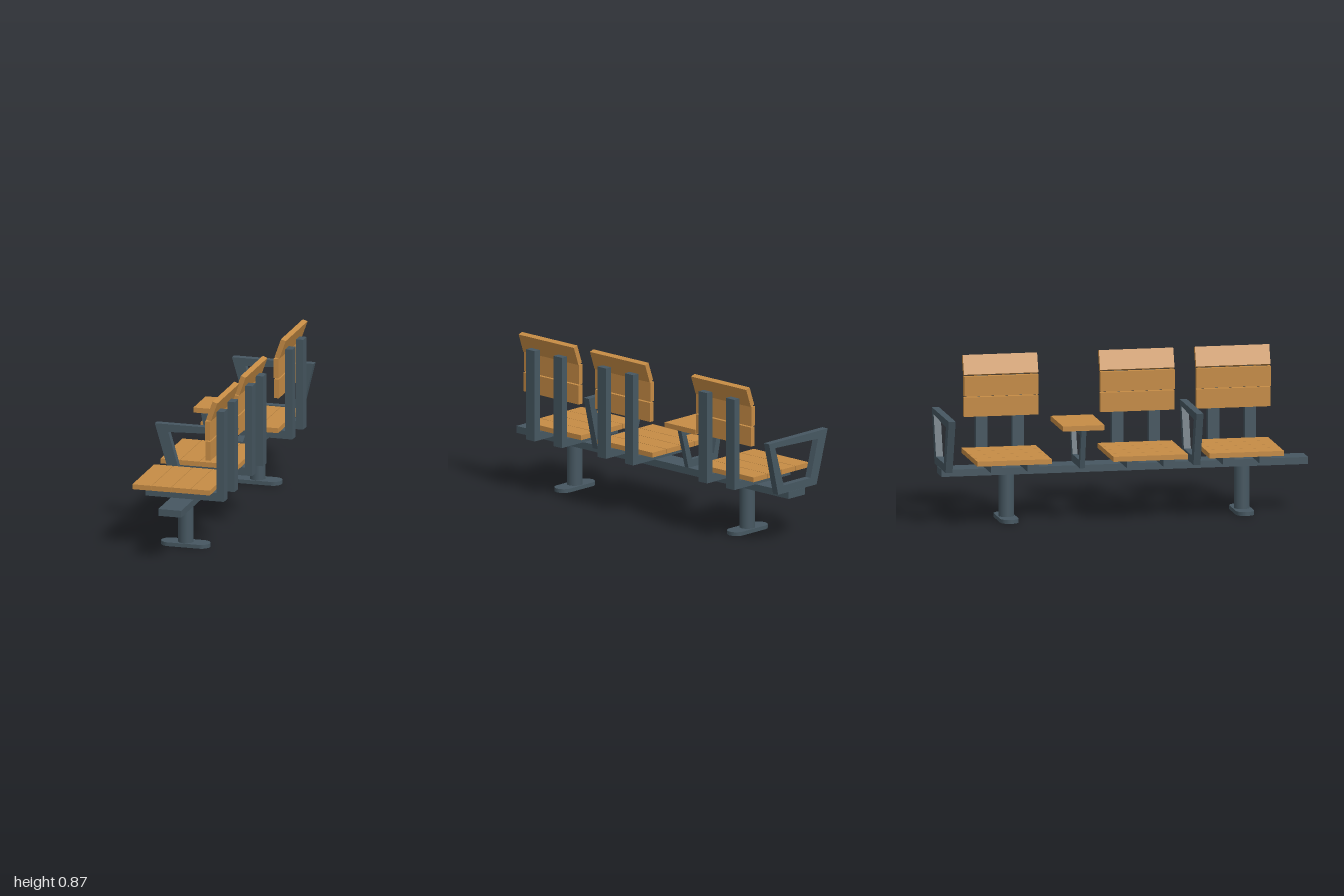
import * as THREE from 'three';

const wood = new THREE.MeshStandardMaterial({ color: 0xc68c45 });
const steel = new THREE.MeshStandardMaterial({ color: 0x465761 });

function add(parent, name, geometry, material) {
  const mesh = new THREE.Mesh(geometry, material);
  mesh.name = name;
  parent.add(mesh);
  return mesh;
}

// Box given by its limits on each axis
function box(parent, name, material, [x0, x1], [y0, y1], [z0, z1]) {
  const mesh = add(parent, name, new THREE.BoxGeometry(x1 - x0, y1 - y0, z1 - z0), material);
  mesh.position.set((x0 + x1) / 2, (y0 + y1) / 2, (z0 + z1) / 2);
  return mesh;
}

const points = (list) => list.map(([x, y]) => new THREE.Vector2(x, y));

// Closed four-sided frame in the x-y plane
function frame(parent, name, outer, inner, depth, x, z) {
  const shape = new THREE.Shape(points(outer));
  shape.holes.push(new THREE.Path(points(inner)));
  const geometry = new THREE.ExtrudeGeometry(shape, { depth, bevelEnabled: false });
  geometry.translate(0, 0, -depth / 2);
  add(parent, name, geometry, steel).position.set(x, 0, z);
}

// Pedestal: round post on a rounded-end foot plate
function pedestal(x, z) {
  const group = new THREE.Group();
  group.name = 'pedestal';
  const post = add(group, 'post', new THREE.CylinderGeometry(0.042, 0.042, 0.24, 24), steel);
  post.position.y = 0.14;
  const r = 0.05, half = 0.086;
  const shape = new THREE.Shape();
  shape.absarc(half, 0, r, -Math.PI / 2, Math.PI / 2, false);
  shape.absarc(-half, 0, r, Math.PI / 2, Math.PI * 1.5, false);
  const geometry = new THREE.ExtrudeGeometry(shape, { depth: 0.021, bevelEnabled: false, curveSegments: 12 });
  geometry.rotateX(-Math.PI / 2);
  add(group, 'footPlate', geometry, steel);
  group.position.set(x, 0, z);
  return group;
}

// Seat: four seat slats, three back slats, two L-shaped brackets
function seat(z) {
  const group = new THREE.Group();
  group.name = 'seat';
  const seatZ = [-0.203, 0.203];
  const backZ = [-0.192, 0.214];
  for (let i = 0; i < 4; i++) {
    const x = -0.245 + i * 0.109;
    box(group, 'seatSlat', wood, [x, x + 0.106], [0.34, 0.367], seatZ);
  }
  box(group, 'lowerBackSlat', wood, [0.167, 0.195], [0.537, 0.642], backZ);
  box(group, 'middleBackSlat', wood, [0.165, 0.193], [0.648, 0.755], backZ);
  const top = box(group, 'upperBackSlat', wood, [0.188, 0.216], [0.758, 0.866], backZ);
  top.rotation.z = -0.34;

  const bracket = new THREE.Shape(points([
    [-0.19, 0.293], [0.249, 0.293], [0.249, 0.793], [0.208, 0.793], [0.208, 0.338], [-0.19, 0.338],
  ]));
  for (const bz of [-0.088, 0.112]) {
    const geometry = new THREE.ExtrudeGeometry(bracket, { depth: 0.062, bevelEnabled: false });
    geometry.translate(0, 0, -0.031);
    add(group, 'bracket', geometry, steel).position.z = bz;
  }
  group.position.z = z;
  return group;
}

export function createModel() {
  const model = new THREE.Group();
  model.name = 'benchRow';

  // Long supporting beam and its pedestals
  box(model, 'beam', steel, [-0.048, 0.08], [0.255, 0.293], [-1, 1]);
  model.add(pedestal(0, 0.647), pedestal(0.014, -0.636));

  for (const z of [0.625, 0.101, -0.642]) model.add(seat(z));

  // Armrests
  const armOuter = [[-0.166, 0.293], [0.134, 0.293], [0.205, 0.586], [-0.252, 0.586]];
  const armInner = [[-0.118, 0.337], [-0.177, 0.543], [0.157, 0.556], [0.091, 0.337]];
  frame(model, 'armrest', armOuter, armInner, 0.038, 0, 0.369);
  frame(model, 'armrest', armOuter, armInner, 0.038, 0.024, -0.979);

  // Small table on its own frame
  const tableOuter = [[-0.145, 0.293], [0.08, 0.293], [0.136, 0.506], [-0.19, 0.506]];
  const tableInner = [[-0.117, 0.335], [-0.153, 0.473], [0.096, 0.478], [0.052, 0.335]];
  frame(model, 'tableFrame', tableOuter, tableInner, 0.027, 0, -0.252);
  box(model, 'tableTop', wood, [-0.196, 0.135], [0.505, 0.533], [-0.368, -0.141]);

  return model;
}
